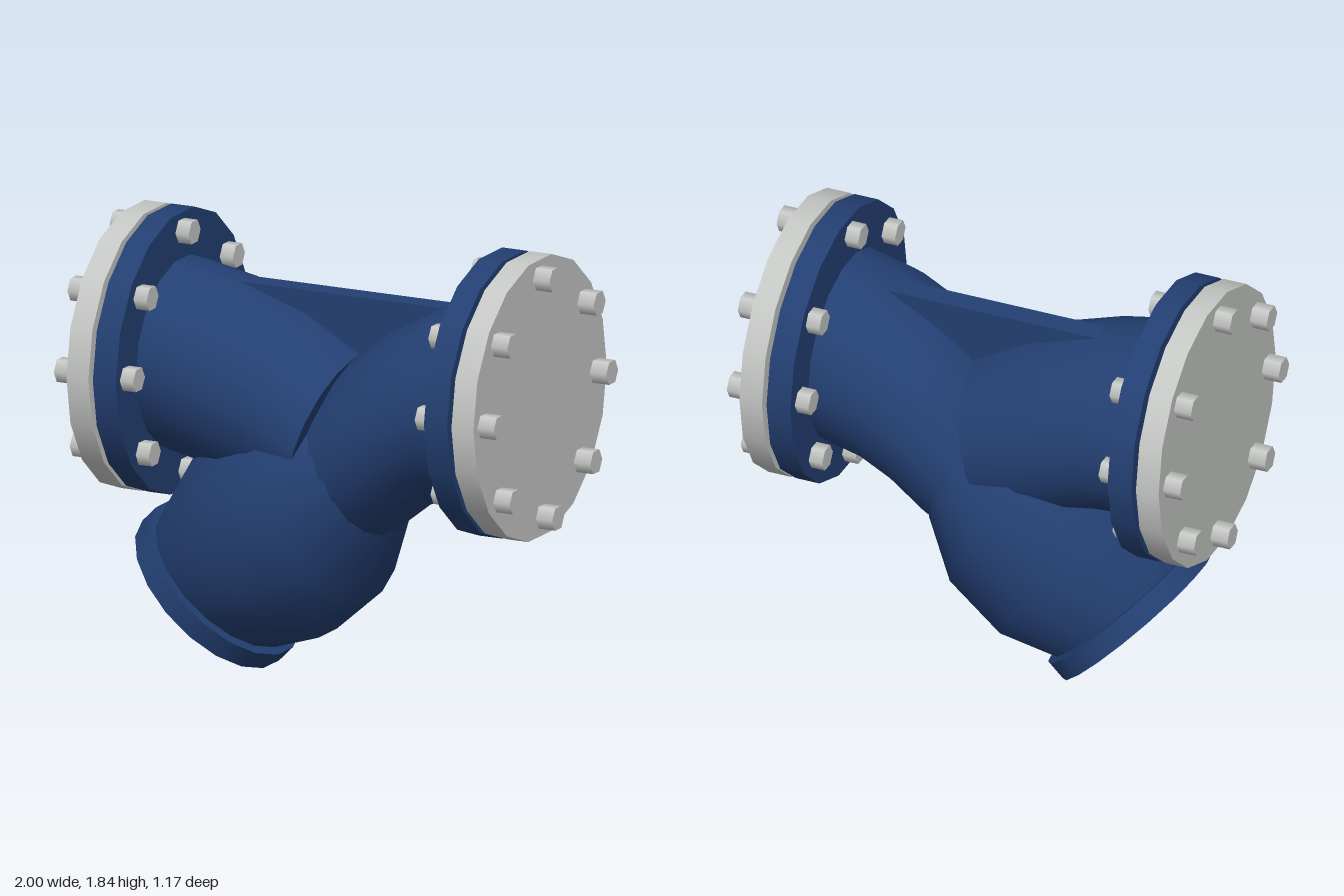
import * as THREE from 'three';

const SIDES = 18;
const AXIS_Y = 1.27;

const blue = new THREE.MeshStandardMaterial({ color: 0x233f72 });
blue.name = 'bluePaint';
const grey = new THREE.MeshStandardMaterial({ color: 0xc5c7c5 });
grey.name = 'greySteel';

// Skin a tube through elliptical rings: [lowX, lowY, highX, highY, halfDepth]
function loft(rings) {
  const pos = [], index = [];
  const squash = Math.cos(Math.PI / SIDES);
  const addRing = ([lx, ly, ux, uy, rz]) => {
    const start = pos.length / 3;
    for (let i = 0; i < SIDES; i++) {
      const a = (i / SIDES) * Math.PI * 2;
      const s = Math.sin(a) / squash / 2;
      pos.push((lx + ux) / 2 + (ux - lx) * s, (ly + uy) / 2 + (uy - ly) * s, Math.cos(a) * rz);
    }
    return start;
  };
  const starts = rings.map(addRing);
  for (let r = 0; r < rings.length - 1; r++) {
    for (let i = 0; i < SIDES; i++) {
      const j = (i + 1) % SIDES, a = starts[r], b = starts[r + 1];
      index.push(a + i, b + i, a + j, a + j, b + i, b + j);
    }
  }
  // flat end caps with their own vertices
  [rings[0], rings[rings.length - 1]].forEach((ring, end) => {
    const s = addRing(ring);
    for (let i = 1; i < SIDES - 1; i++) {
      if (end === 0) index.push(s, s + i, s + i + 1);
      else index.push(s, s + i + 1, s + i);
    }
  });
  const g = new THREE.BufferGeometry();
  g.setAttribute('position', new THREE.Float32BufferAttribute(pos, 3));
  g.setIndex(index);
  g.computeVertexNormals();
  return g;
}

export function createModel() {
  const model = new THREE.Group();
  model.name = 'yStrainer';

  const add = (name, geometry, material, parent = model) => {
    const mesh = new THREE.Mesh(geometry, material);
    mesh.name = name;
    parent.add(mesh);
    return mesh;
  };

  // disc or hexagon lying along x, between x0 and x1
  const addAlongX = (name, radius, sides, x0, x1, y, z, material, parent) => {
    const g = new THREE.CylinderGeometry(radius, radius, Math.abs(x1 - x0), sides);
    g.rotateZ(Math.PI / 2);
    add(name, g, material, parent).position.set((x0 + x1) / 2, y, z);
  };

  // curved inlet pipe
  add('inletPipe', loft([
    [-0.72, 0.88, -0.72, 1.66, 0.41],
    [-0.50, 0.83, -0.42, 1.60, 0.41],
    [-0.32, 0.77, -0.12, 1.50, 0.41],
    [-0.10, 0.70, 0.12, 1.36, 0.40],
  ]), blue);

  // curved outlet pipe
  add('outletPipe', loft([
    [0.20, 0.60, -0.08, 1.15, 0.38],
    [0.25, 0.63, 0.12, 1.36, 0.41],
    [0.40, 0.75, 0.28, 1.48, 0.41],
    [0.53, 0.82, 0.50, 1.60, 0.41],
    [0.72, 0.87, 0.72, 1.655, 0.41],
  ]), blue);

  // bulging slanted chamber
  add('strainerChamber', loft([
    [-0.25, 0.10, -0.76, 0.60, 0.36],
    [-0.04, 0.17, -0.57, 0.92, 0.485],
    [0.165, 0.35, -0.26, 1.18, 0.485],
    [0.25, 0.63, 0.05, 1.20, 0.39],
  ]), blue);

  // round cover closing the chamber
  const cover = add('chamberCover', new THREE.CylinderGeometry(0.395, 0.395, 0.09, SIDES), blue);
  cover.position.set(-0.54, 0.315, 0);
  cover.rotation.z = -Math.PI / 4;

  // web between the two pipes
  const web = new THREE.Shape([
    [-0.42, 1.60], [-0.12, 1.42], [0.12, 1.30], [0.30, 1.42], [0.50, 1.60],
  ].map(([x, y]) => new THREE.Vector2(x, y)));
  add('topWeb', new THREE.ExtrudeGeometry(web, { depth: 0.1, bevelEnabled: false }), blue)
    .position.z = -0.07;

  // bolt centres around the flange: [z, y offset]
  const bolts = [
    [0.01, 0.505], [0.38, 0.315], [0.5, 0.003], [0.36, -0.34],
    [-0.015, -0.497], [-0.35, -0.34], [-0.49, 0], [-0.38, 0.315],
  ];

  // flange pairs with bolt heads and nuts
  for (const side of [1, -1]) {
    const flange = new THREE.Group();
    flange.name = side > 0 ? 'leftFlange' : 'rightFlange';
    model.add(flange);
    addAlongX('pipeFlange', 0.587, SIDES, side * 0.70, side * 0.805, AXIS_Y, 0, blue, flange);
    addAlongX('blindFlange', 0.587, SIDES, side * 0.825, side * 0.925, AXIS_Y, 0, grey, flange);
    for (const [z, dy] of bolts) {
      addAlongX('boltHead', 0.053, 6, side * 0.91, side * 1.0, AXIS_Y + dy, z, grey, flange);
      addAlongX('boltNut', 0.053, 6, side * 0.64, side * 0.71, AXIS_Y + dy, z, grey, flange);
    }
  }

  return model;
}
